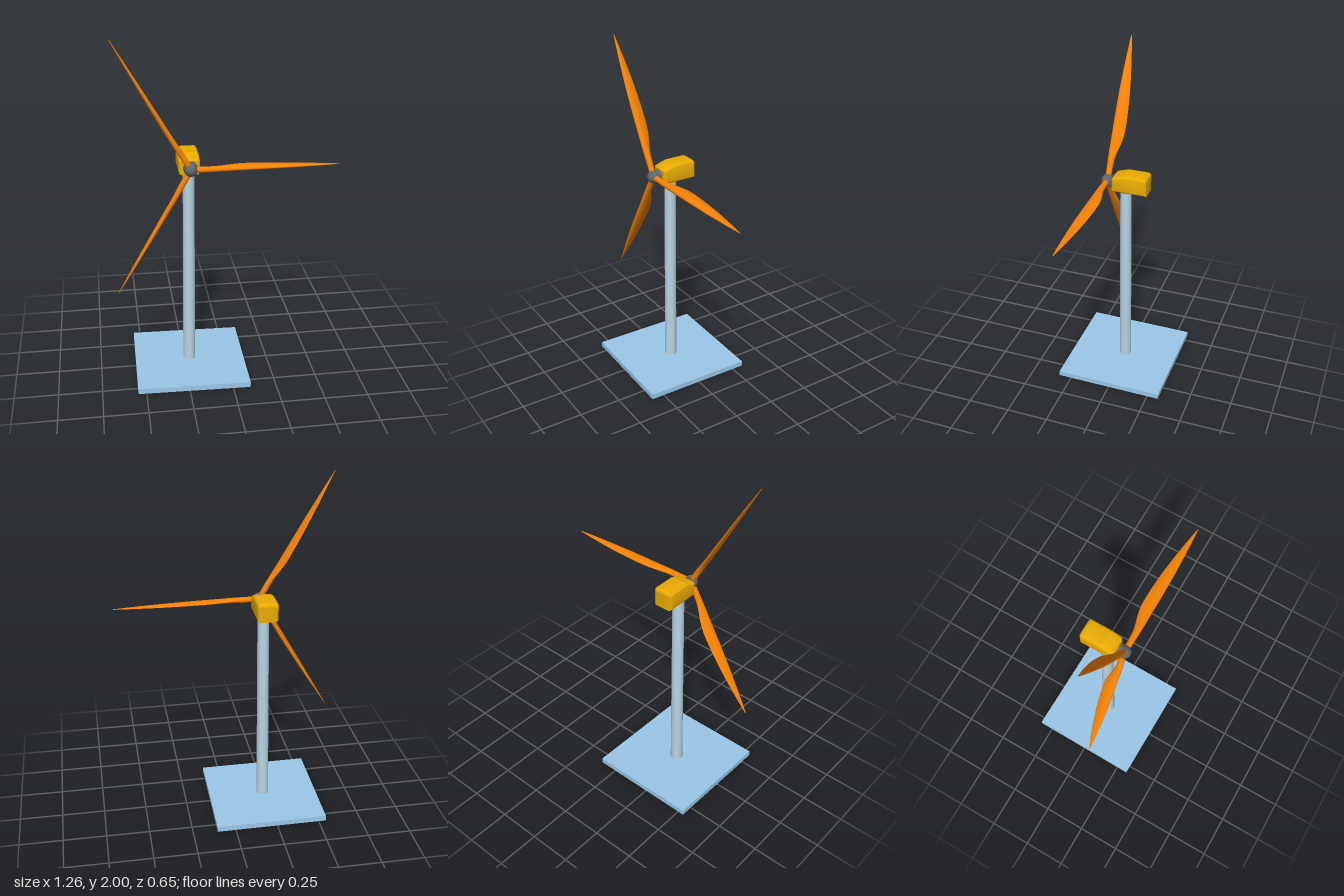
import * as THREE from 'three';
import { mergeVertices, toCreasedNormals } from 'three/addons/utils/BufferGeometryUtils.js';

const paint = (color) => new THREE.MeshStandardMaterial({ color });
const baseBlue = paint(0x9bc8e8);
const towerGrey = paint(0xb8d6e4);
const yellow = paint(0xeaac04);
const orange = paint(0xf58207);
const dark = paint(0x62646a);

function add(parent, name, geometry, material, x = 0, y = 0, z = 0) {
  const mesh = new THREE.Mesh(geometry, material);
  mesh.name = name;
  mesh.position.set(x, y, z);
  parent.add(mesh);
  return mesh;
}

// Blade stations: radius, back edge z, front edge z, thickness, rise of back edge, airfoil amount
const STATIONS = [
  [0.02, -0.016, 0.017, 0.033, 0, 0],
  [0.08, -0.018, 0.018, 0.033, 0, 0],
  [0.12, -0.02, 0.019, 0.033, 0.001, 0.2],
  [0.16, -0.027, 0.02, 0.032, 0.004, 0.5],
  [0.22, -0.043, 0.02, 0.031, 0.008, 0.9],
  [0.29, -0.053, 0.02, 0.03, 0.01, 1],
  [0.4, -0.052, 0.02, 0.027, 0.009, 1],
  [0.55, -0.042, 0.017, 0.021, 0.006, 1],
  [0.7, -0.024, 0.01, 0.013, 0.003, 1],
  [0.834, -0.004, 0.001, 0.003, 0, 1],
];

// Blade along +x, lofted through smoothly interpolated airfoil sections
function bladeGeometry() {
  const rings = 44, sides = 24, pos = [], idx = [];
  const first = STATIONS[0][0], last = STATIONS[STATIONS.length - 1][0];
  const curves = [1, 2, 3, 4, 5].map((k) => new THREE.SplineCurve(
    STATIONS.map((s) => new THREE.Vector2(s[0], s[k]))));
  const sample = (curve, x) => {
    let lo = 0, hi = 1;
    for (let n = 0; n < 24; n++) {
      const mid = (lo + hi) / 2;
      if (curve.getPoint(mid).x < x) lo = mid; else hi = mid;
    }
    return curve.getPoint(lo).y;
  };
  for (let i = 0; i <= rings; i++) {
    const x = first + (last - first) * i / rings;
    const [back, front, thick, rise, foil] = curves.map((c) => sample(c, x));
    const mix = THREE.MathUtils.clamp(foil, 0, 1);
    for (let j = 0; j < sides; j++) {
      const a = j / sides * Math.PI * 2;
      const s = (1 + Math.cos(a)) / 2;
      const fat = 1 - mix + mix * 1.2 * Math.sqrt(s);
      pos.push(x, thick / 2 * Math.sin(a) * fat + rise * (1 - s), back + (front - back) * s);
    }
  }
  for (let i = 0; i < rings; i++) {
    for (let j = 0; j < sides; j++) {
      const k = (j + 1) % sides;
      const a = i * sides + j, b = i * sides + k, c = a + sides, d = b + sides;
      idx.push(a, c, b, b, c, d);
    }
  }
  // Tip cap
  const tip = pos.length / 3, ring = rings * sides;
  pos.push(last + 0.001, 0, -0.001);
  for (let j = 0; j < sides; j++) idx.push(ring + (j + 1) % sides, ring + j, tip);
  const g = new THREE.BufferGeometry();
  g.setAttribute('position', new THREE.Float32BufferAttribute(pos, 3));
  g.setIndex(idx);
  g.computeVertexNormals();
  return g;
}

// Nacelle side profile (z, y), extruded across the width with rounded side edges
function nacelleGeometry() {
  const outline = [[-0.137, 0], [0.072, 0], [0.072, 0.08], [0.064, 0.088],
    [0, 0.108], [-0.12, 0.108], [-0.131, 0.104], [-0.137, 0.092]];
  const shape = new THREE.Shape(outline.map(([z, y]) => new THREE.Vector2(z, y)));
  const bevel = 0.018, width = 0.12;
  const g = new THREE.ExtrudeGeometry(shape, {
    depth: width - 2 * bevel, bevelEnabled: true, bevelThickness: bevel,
    bevelSize: bevel, bevelOffset: -bevel, bevelSegments: 3,
  });
  g.translate(0, 0, bevel - width / 2);
  g.rotateY(-Math.PI / 2);
  g.deleteAttribute('uv');
  g.deleteAttribute('normal');
  return toCreasedNormals(mergeVertices(g, 1e-5), 0.3);
}

export function createModel() {
  const model = new THREE.Group();
  model.name = 'windTurbine';

  // Base plate and tower lean together very slightly
  const stand = new THREE.Group();
  stand.name = 'stand';
  stand.position.set(-0.22, 0.02, 0);
  stand.rotation.set(0, -0.0115, -0.0115);
  model.add(stand);
  add(stand, 'basePlate', new THREE.BoxGeometry(0.649, 0.032, 0.647), baseBlue);
  add(stand, 'tower', new THREE.CylinderGeometry(0.033, 0.036, 1.21, 40), towerGrey, -0.002, 0.611, 0);
  add(stand, 'yawCollar', new THREE.CylinderGeometry(0.04, 0.04, 0.014, 40), yellow, -0.002, 1.211, 0);

  // Housing on top of the tower
  add(model, 'nacelle', nacelleGeometry(), yellow, -0.209, 1.232, 0);

  // Rotor: shaft, hub and three blades around the z axis
  const rotor = new THREE.Group();
  rotor.name = 'rotor';
  rotor.position.set(-0.206, 1.274, 0.111);
  rotor.rotation.set(0, 0.005, -0.007);
  model.add(rotor);

  const shaft = new THREE.CylinderGeometry(0.019, 0.019, 0.04, 24);
  shaft.rotateX(Math.PI / 2);
  add(rotor, 'shaft', shaft, yellow, 0, 0, -0.045);

  const collar = new THREE.CylinderGeometry(0.03, 0.04, 0.03, 32);
  collar.rotateX(Math.PI / 2);
  add(rotor, 'hubCollar', collar, dark, 0, 0, -0.018);
  add(rotor, 'hub', new THREE.SphereGeometry(0.037, 32, 24), dark);

  const blade = bladeGeometry();
  for (let i = 0; i < 3; i++) {
    add(rotor, `blade${i + 1}`, blade, orange).rotation.z = i * Math.PI * 2 / 3;
  }
  return model;
}
